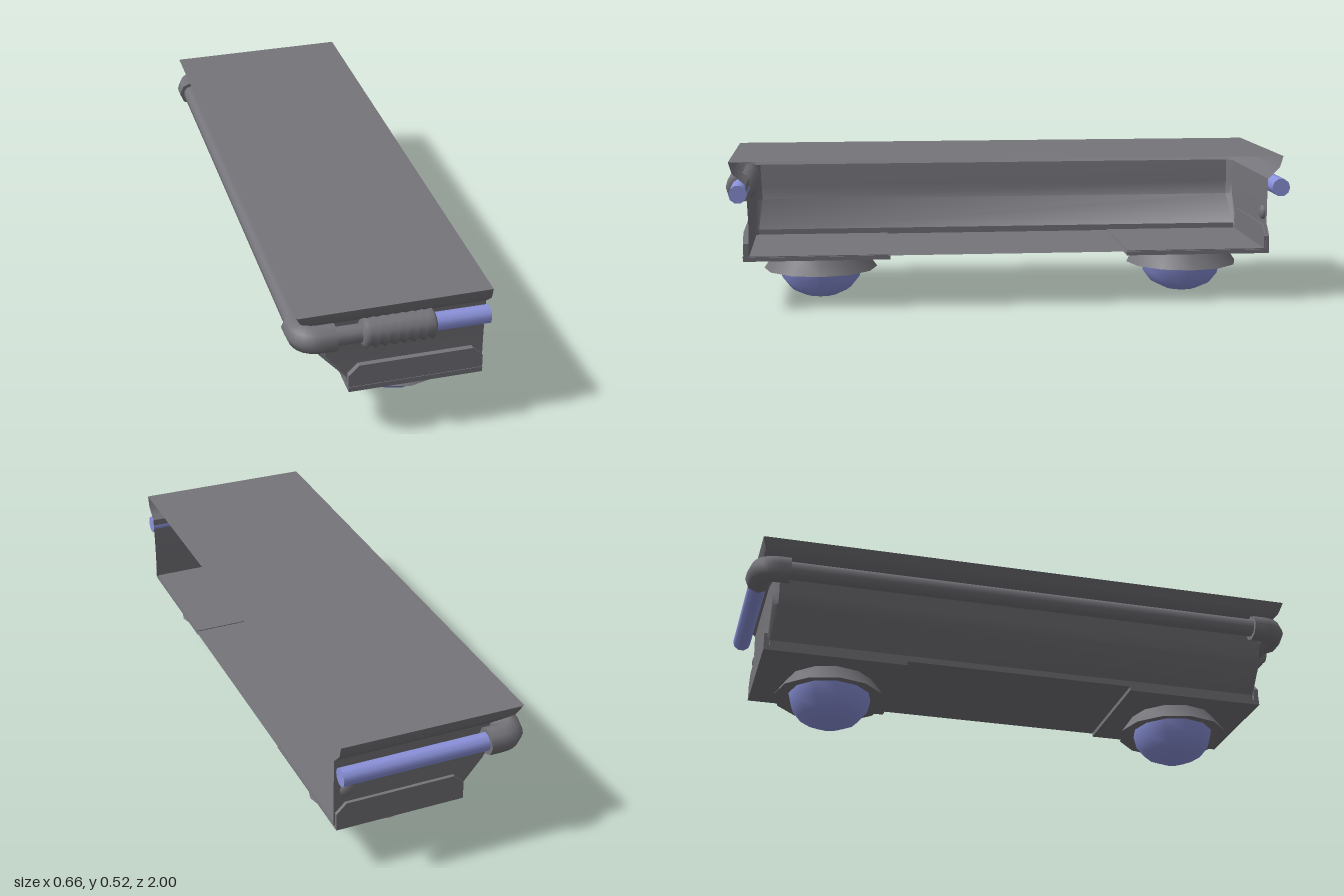
import * as THREE from 'three';
import { toCreasedNormals } from 'three/addons/utils/BufferGeometryUtils.js';

const OPEN_X = 0.33; // the +x side is left open

export function createModel() {
  const grey = new THREE.MeshStandardMaterial({ color: 0x74747a, side: THREE.DoubleSide });
  grey.name = 'grey';
  const blue = new THREE.MeshStandardMaterial({ color: 0x8c93dc, side: THREE.DoubleSide });
  blue.name = 'blue';

  const model = new THREE.Group();
  model.name = 'halfUnit';
  const add = (name, geometry, material, x = 0, y = 0, z = 0, parent = model) => {
    const mesh = new THREE.Mesh(geometry, material);
    mesh.name = name;
    mesh.position.set(x, y, z);
    parent.add(mesh);
    return mesh;
  };

  // Hollow body: U-shaped outlines from the flared top down to the floor
  // [y, side x, front z, back z, corner cut]
  const levels = [
    [0.515, -0.313, 0.98, -0.955, 0.004],
    [0.48, -0.296, 0.968, -0.943, 0.008],
    [0.455, -0.265, 0.94, -0.918, 0.012],
    [0.44, -0.235, 0.922, -0.902, 0.02],
    [0.36, -0.225, 0.918, -0.9, 0.02],
    [0.31, -0.222, 0.916, -0.9, 0.02],
    [0.21, -0.13, 0.916, -0.9, 0.01],
    [0.188, -0.13, 0.916, -0.9, 0.01],
  ];
  const outline = ([y, x, f, b, c]) => [
    [OPEN_X, f], [x + c, f], [x, f - c], [x, b + c], [x + c, b], [OPEN_X, b],
  ].map(([px, pz]) => [px, y > 0.5 && px === OPEN_X ? 0.52 : y, pz]);

  const shell = (rows, cap) => {
    const index = [];
    if (cap) {
      for (let k = 1; k < 5; k++) index.push(...(cap > 0 ? [0, k + 1, k] : [0, k, k + 1]));
    } else {
      for (let j = 0; j < rows.length - 1; j++) {
        for (let i = 0; i < 5; i++) {
          const a = j * 6 + i;
          index.push(a, a + 1, a + 6, a + 1, a + 7, a + 6);
        }
      }
    }
    const g = new THREE.BufferGeometry();
    g.setAttribute('position', new THREE.Float32BufferAttribute(rows.flatMap(outline).flat(), 3));
    g.setIndex(index);
    return toCreasedNormals(g, 0.7);
  };
  add('bodyWalls', shell(levels), grey);
  add('bodyTop', shell([levels[0]], 1), grey);
  add('bodyFloor', shell([levels[levels.length - 1]], -1), grey);

  // Mounting plate with a clipped upright tab, cone housing and dome, at each end
  const tab = new THREE.Shape([
    [-0.13, 0.173], [0.325, 0.173], [0.325, 0.235], [0.29, 0.27], [-0.095, 0.27], [-0.13, 0.235],
  ].map(([x, y]) => new THREE.Vector2(x, y)));
  const tabGeometry = new THREE.ExtrudeGeometry(tab, { depth: 0.018, bevelEnabled: false });
  const lathe = (points) => toCreasedNormals(
    new THREE.LatheGeometry(points.map(([r, y]) => new THREE.Vector2(r, y)), 12, Math.PI / 2), 0.7);
  const housing = lathe([[0.145, 0.122], [0.202, 0.11], [0.157, 0.174]]);
  const dome = lathe([[0, 0.002], [0.058, 0.012], [0.108, 0.036], [0.139, 0.075], [0.15, 0.124]]);

  const ends = [
    { name: 'front', tabZ: 0.918, plateZ: 0.684, domeZ: 0.675 },
    { name: 'back', tabZ: -0.912, plateZ: -0.656, domeZ: -0.64 },
  ];
  for (const { name, tabZ, plateZ, domeZ } of ends) {
    const foot = new THREE.Group();
    foot.name = name + 'Foot';
    model.add(foot);
    add('footTab', tabGeometry, grey, 0, 0, tabZ, foot);
    add('footPlate', new THREE.BoxGeometry(0.455, 0.018, 0.508), grey, 0.0975, 0.182, plateZ, foot);
    add('coneHousing', housing, grey, 0.1, 0, domeZ, foot);
    add('dome', dome, blue, 0.1, 0, domeZ, foot);
  }

  // Rail around the body
  const railY = 0.408, railZ = 0.95, railX = -0.285;
  const rod = (name, material, x0, x1, z, r = 0.032) =>
    add(name, new THREE.CylinderGeometry(r, r, x1 - x0, 10), material, (x0 + x1) / 2, railY, z)
      .rotateZ(Math.PI / 2);
  rod('frontBlueRod', blue, 0.13, OPEN_X, railZ);
  rod('frontGreyRod', grey, -0.2, -0.08, railZ);
  rod('backBlueRod', blue, -0.2, OPEN_X, -railZ);
  add('sideRod', new THREE.CylinderGeometry(0.032, 0.032, 1.74, 10), grey, railX, railY, 0)
    .rotateX(Math.PI / 2);

  // Elbows at both corners, with closed ends
  for (const s of [1, -1]) {
    const path = new THREE.CurvePath();
    const v = (x, z) => new THREE.Vector3(x, railY, z * s);
    path.add(new THREE.LineCurve3(v(-0.182, railZ), v(-0.225, railZ)));
    path.add(new THREE.QuadraticBezierCurve3(v(-0.225, railZ), v(railX, railZ), v(railX, 0.89)));
    path.add(new THREE.LineCurve3(v(railX, 0.89), v(railX, 0.855)));
    const name = s > 0 ? 'frontElbow' : 'backElbow';
    add(name, new THREE.TubeGeometry(path, 14, 0.047, 8), grey);
    add(name + 'RodCap', new THREE.CircleGeometry(0.047, 8), grey, -0.182, railY, railZ * s)
      .rotateY(Math.PI / 2);
    add(name + 'SideCap', new THREE.CircleGeometry(0.047, 8), grey, railX, railY, 0.855 * s)
      .rotateY(s > 0 ? Math.PI : 0);
  }

  // Ribbed grip on the front rod
  const ribs = 7, x0 = -0.097, x1 = 0.147;
  const profile = [new THREE.Vector2(0, x0), new THREE.Vector2(0.037, x0)];
  for (let i = 0; i <= ribs * 2; i++) {
    const t = (i + 0.7) / (ribs * 2 + 1.4);
    profile.push(new THREE.Vector2(i % 2 ? 0.054 - 0.012 : 0.054, x0 + (x1 - x0) * t));
  }
  profile.push(new THREE.Vector2(0.037, x1), new THREE.Vector2(0, x1));
  add('ribbedGrip', new THREE.LatheGeometry(profile, 12), grey, 0, railY, railZ)
    .rotateZ(-Math.PI / 2);

  // Small round stud on the back wall
  add('backStud', new THREE.SphereGeometry(0.026, 10, 6), grey, 0.285, 0.315, -0.897).scale.z = 0.5;

  return model;
}
